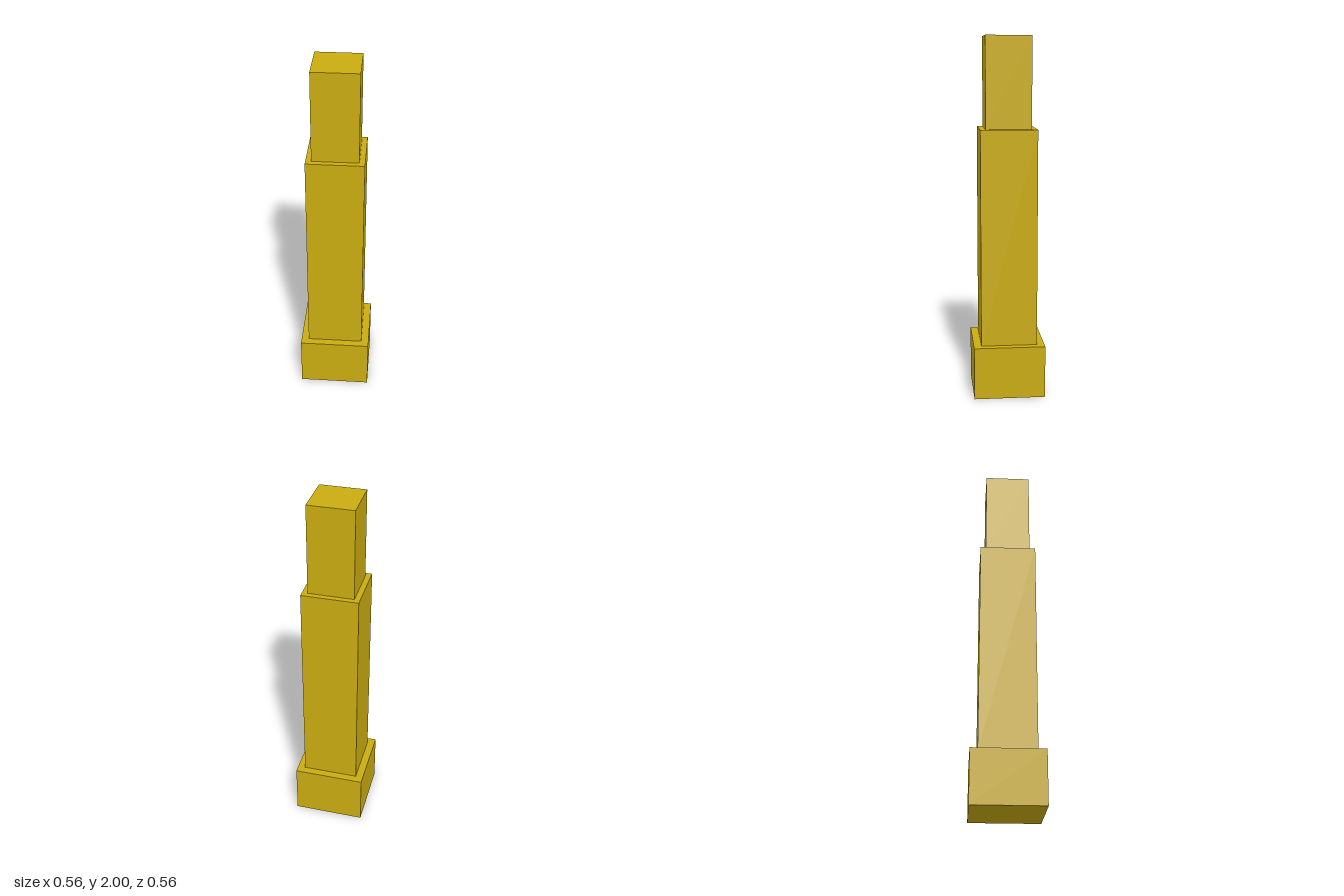
import * as THREE from 'three';

export function createModel() {
  const model = new THREE.Group();
  model.name = 'steppedPillar';
  const material = new THREE.MeshStandardMaterial({ color: 0xc9ab10, flatShading: true });

  // Square tiers turned corner-forward: corner radius, bottom and top heights
  const tiers = [
    ['base', 0.281, 0, 0.295],
    ['shaft', 0.221, 0.295, 1.5],
    ['topBlock', 0.178, 1.5, 2],
  ];
  for (const [name, radius, bottom, top] of tiers) {
    const tier = new THREE.Mesh(new THREE.CylinderGeometry(radius, radius, top - bottom, 4), material);
    tier.name = name;
    tier.position.y = (bottom + top) / 2;
    model.add(tier);
  }
  return model;
}
